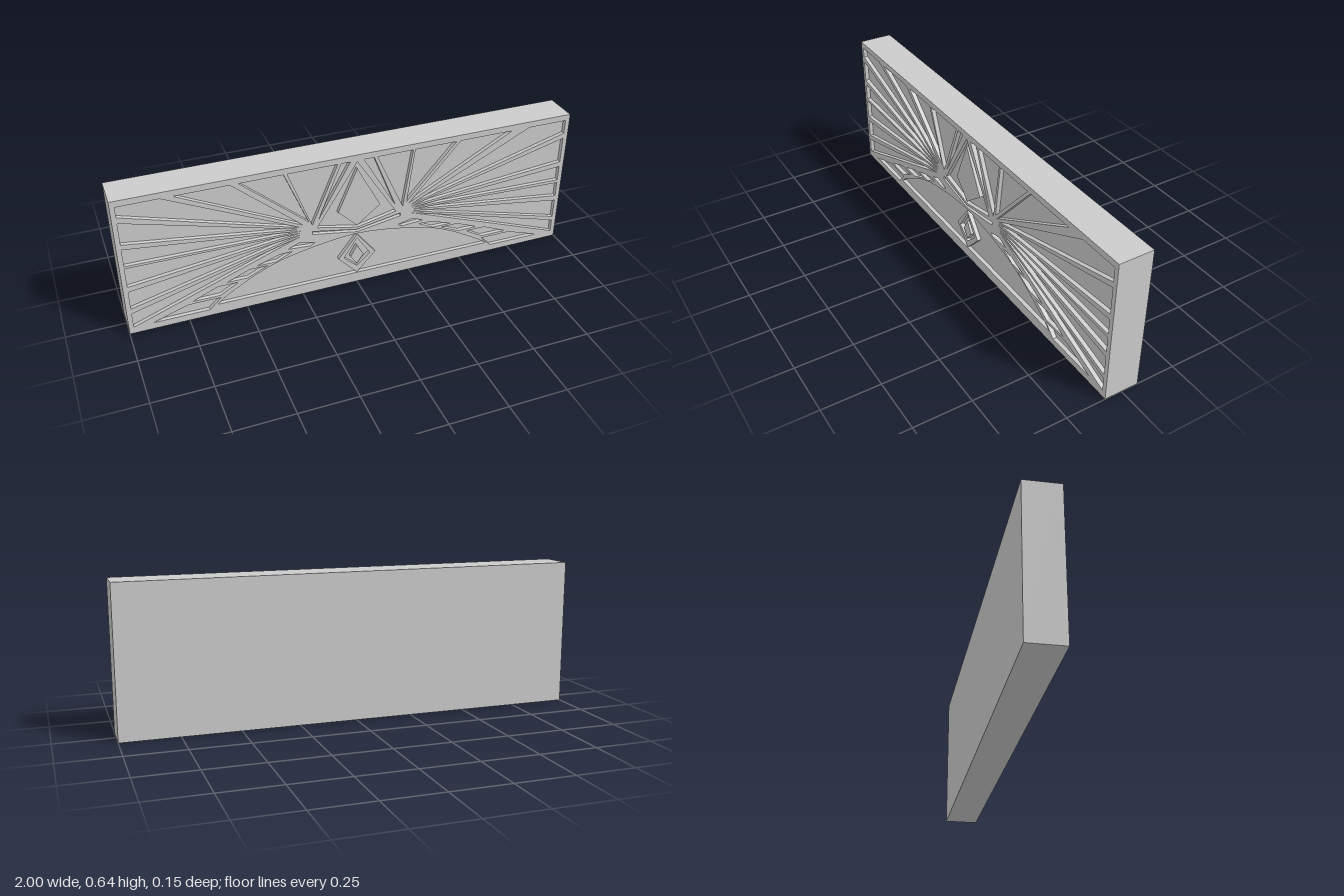
import * as THREE from 'three';

const BACK = -0.076, FLOOR = 0.058, FRONT = 0.076, HEIGHT = 0.64;
const material = new THREE.MeshStandardMaterial({ color: 0xcccccc, flatShading: true });

const points = (list) => list.map(([x, y]) => new THREE.Vector2(x, y));
const mirror = (list) => list.map(([x, y]) => [-x, y]);

// Raised relief layer between the recess floor and the front face
function relief(name, outline, holes = []) {
  const shape = new THREE.Shape(points(outline));
  for (const hole of holes) shape.holes.push(new THREE.Path(points(hole)));
  const geometry = new THREE.ExtrudeGeometry(shape, { depth: FRONT - FLOOR, bevelEnabled: false });
  geometry.translate(0, 0, FLOOR);
  const mesh = new THREE.Mesh(geometry, material);
  mesh.name = name;
  return mesh;
}

// Wedge recesses fanning out from one focus; side is -1 or 1
function rays(side, corner, ends, tops) {
  const X = 0.98 * side, T = 0.613;
  const fan = ends.map(([high, low], i) => {
    const tip = [0.25 * side, 0.345 - i * 0.0085];
    return i === 0
      ? [[X, T], [corner * side, T], tip, [X, low]]
      : [[X, high], tip, [X, low]];
  });
  for (const [a, b, tx, ty] of tops) {
    fan.push([[a * side, T], [b * side, T], [tx * side, ty]]);
  }
  return fan;
}

export function createModel() {
  const group = new THREE.Group();
  group.name = 'carvedPanel';

  // Solid slab behind the carving
  const slab = new THREE.Mesh(new THREE.BoxGeometry(2, HEIGHT, FLOOR - BACK), material);
  slab.position.set(0, HEIGHT / 2, (FLOOR + BACK) / 2);
  slab.name = 'backSlab';
  group.add(slab);

  // Sunburst wedges, slightly different on each side
  const leftRays = rays(-1, 0.81,
    [[0.613, 0.567], [0.54, 0.44], [0.417, 0.337], [0.326, 0.235], [0.21, 0.125], [0.1, 0.03]],
    [[0.76, 0.535, 0.24, 0.355], [0.5, 0.315, 0.215, 0.365], [0.3, 0.085, 0.2, 0.345], [0.07, 0.03, 0.175, 0.36]]);
  const rightRays = rays(1, 0.8,
    [[0.613, 0.55], [0.525, 0.405], [0.38, 0.31], [0.295, 0.225], [0.2, 0.11], [0.09, 0.03]],
    [[0.715, 0.47, 0.24, 0.355], [0.45, 0.26, 0.228, 0.365], [0.25, 0.09, 0.21, 0.345], [0.075, 0.03, 0.175, 0.36]]);

  // Stepped feather recesses above the arch
  const feathers = [
    [[-0.9, 0.03], [-0.66, 0.03], [-0.61, 0.08], [-0.75, 0.08]],
    [[-0.73, 0.092], [-0.61, 0.092], [-0.53, 0.138], [-0.62, 0.138]],
    [[-0.58, 0.15], [-0.49, 0.15], [-0.4, 0.19], [-0.48, 0.19]],
    [[-0.45, 0.2], [-0.36, 0.2], [-0.29, 0.235], [-0.35, 0.232]],
    [[-0.31, 0.25], [-0.21, 0.243], [-0.19, 0.255], [-0.26, 0.27]],
  ];

  // Low arch, kite and chevron recesses in the middle
  const archCurve = new THREE.SplineCurve(points([
    [-0.625, 0.048], [-0.58, 0.085], [-0.42, 0.172], [-0.257, 0.222], [0, 0.255],
    [0.257, 0.222], [0.42, 0.172], [0.58, 0.085], [0.635, 0.048]]));
  const arch = archCurve.getPoints(32).map((p) => [p.x, p.y]);
  const kite = [[0, 0.608], [-0.178, 0.327], [0, 0.287], [0.178, 0.327]];
  const chevron = [[-0.2, 0.313], [0, 0.276], [0.2, 0.313], [0.2, 0.298], [0, 0.264], [-0.2, 0.298]];

  group.add(relief('carvedFace',
    [[-1, 0], [1, 0], [1, HEIGHT], [-1, HEIGHT]],
    [...leftRays, ...rightRays, ...feathers, ...feathers.map(mirror), arch, kite, chevron]));

  // Raised pieces standing in the recesses
  group.add(relief('centreKite', [[0, 0.575], [-0.085, 0.38], [0, 0.297], [0.105, 0.38]]));
  group.add(relief('diamondFrame',
    [[0, 0.25], [-0.085, 0.14], [0, 0.05], [0.085, 0.14]],
    [[[0, 0.232], [-0.06, 0.14], [0, 0.085], [0.06, 0.14]]]));
  group.add(relief('diamondCore', [[0, 0.193], [-0.03, 0.14], [0, 0.097], [0.03, 0.14]]));

  return group;
}
